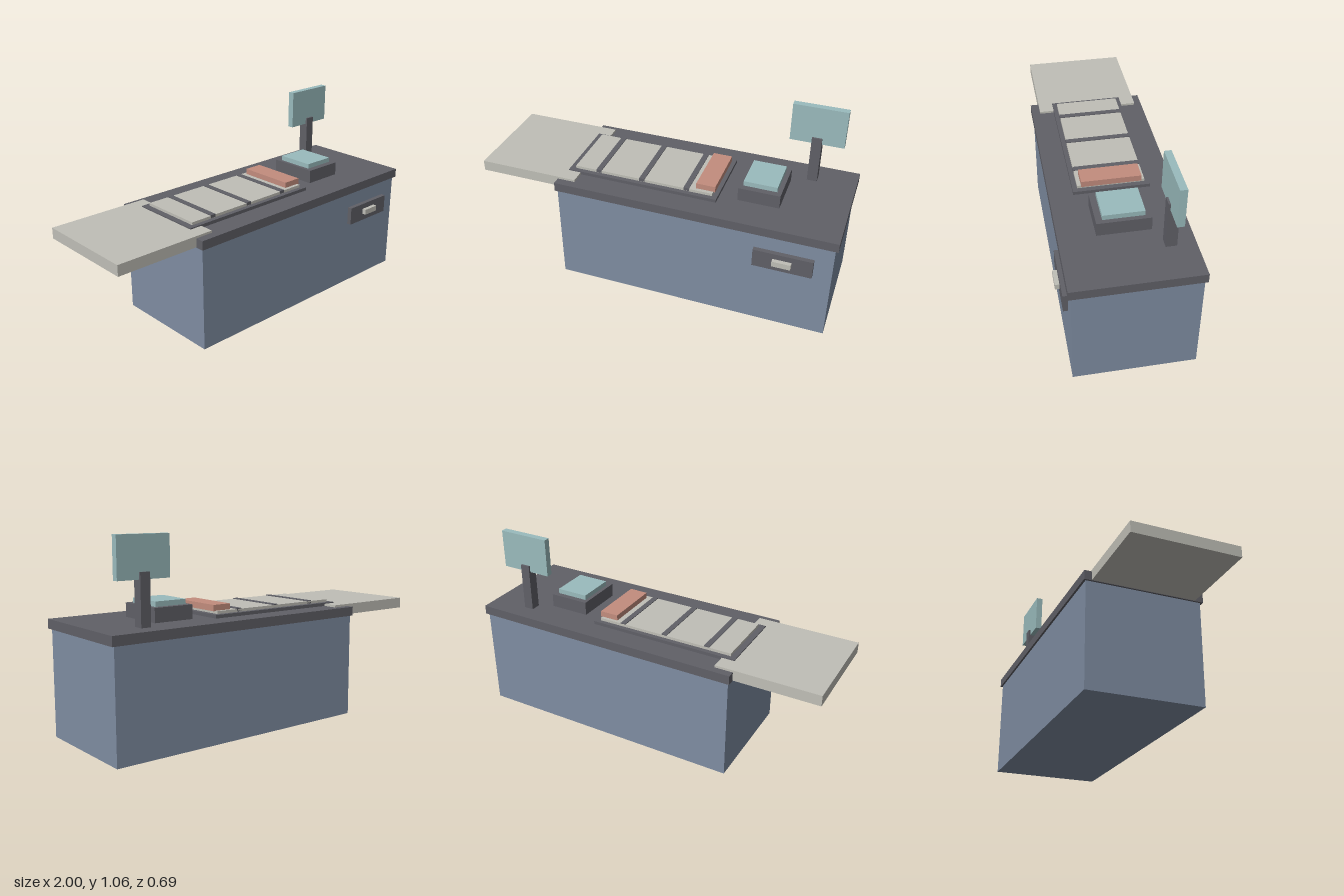
import * as THREE from 'three';

const paint = (name, color) => {
  const m = new THREE.MeshStandardMaterial({ color });
  m.name = name;
  return m;
};

export function createModel() {
  const model = new THREE.Group();
  model.name = 'checkoutCounter';

  const blue = paint('slateBlue', 0x7f8da2);
  const dark = paint('darkGrey', 0x606067);
  const cream = paint('warmGrey', 0xc0bfb7);
  const teal = paint('paleTeal', 0x9abbbd);
  const red = paint('dustyRed', 0xc38d7e);

  // Box given by its lower and upper extent on each axis
  const box = (name, mat, [x0, x1], [y0, y1], [z0, z1]) => {
    const mesh = new THREE.Mesh(new THREE.BoxGeometry(x1 - x0, y1 - y0, z1 - z0), mat);
    mesh.position.set((x0 + x1) / 2, (y0 + y1) / 2, (z0 + z1) / 2);
    mesh.name = name;
    model.add(mesh);
  };

  // Cabinet, worktop and bagging shelf
  box('cabinet', blue, [-0.53, 0.985], [0, 0.57], [-0.333, 0.297]);
  box('worktop', dark, [-0.54, 1], [0.57, 0.62], [-0.344, 0.31]);
  box('baggingShelf', cream, [-1, -0.44], [0.573, 0.632], [-0.303, 0.264]);

  // Conveyor with cross slats and end stop
  box('conveyorFrame', dark, [-0.51, 0.333], [0.615, 0.638], [-0.22, 0.184]);
  box('conveyorBelt', cream, [-0.478, 0.305], [0.638, 0.653], [-0.195, 0.159]);
  for (const x of [-0.34, -0.09, 0.162]) {
    box('conveyorSlat', dark, [x - 0.015, x + 0.015], [0.64, 0.657], [-0.195, 0.16]);
  }
  box('endStop', red, [0.21, 0.315], [0.651, 0.684], [-0.177, 0.139]);

  // Scanner with glass plate
  box('scannerBase', dark, [0.432, 0.656], [0.62, 0.695], [-0.155, 0.121]);
  box('scannerGlass', teal, [0.452, 0.632], [0.695, 0.722], [-0.125, 0.088]);

  // Display on its post
  box('displayPost', dark, [0.735, 0.789], [0.62, 0.884], [-0.246, -0.19]);
  box('displayScreen', teal, [0.617, 0.907], [0.848, 1.06], [-0.236, -0.2]);

  // Drawer front and handle
  box('drawerFront', dark, [0.576, 0.889], [0.379, 0.481], [0.297, 0.322]);
  box('drawerHandle', cream, [0.682, 0.781], [0.419, 0.45], [0.322, 0.345]);

  return model;
}
